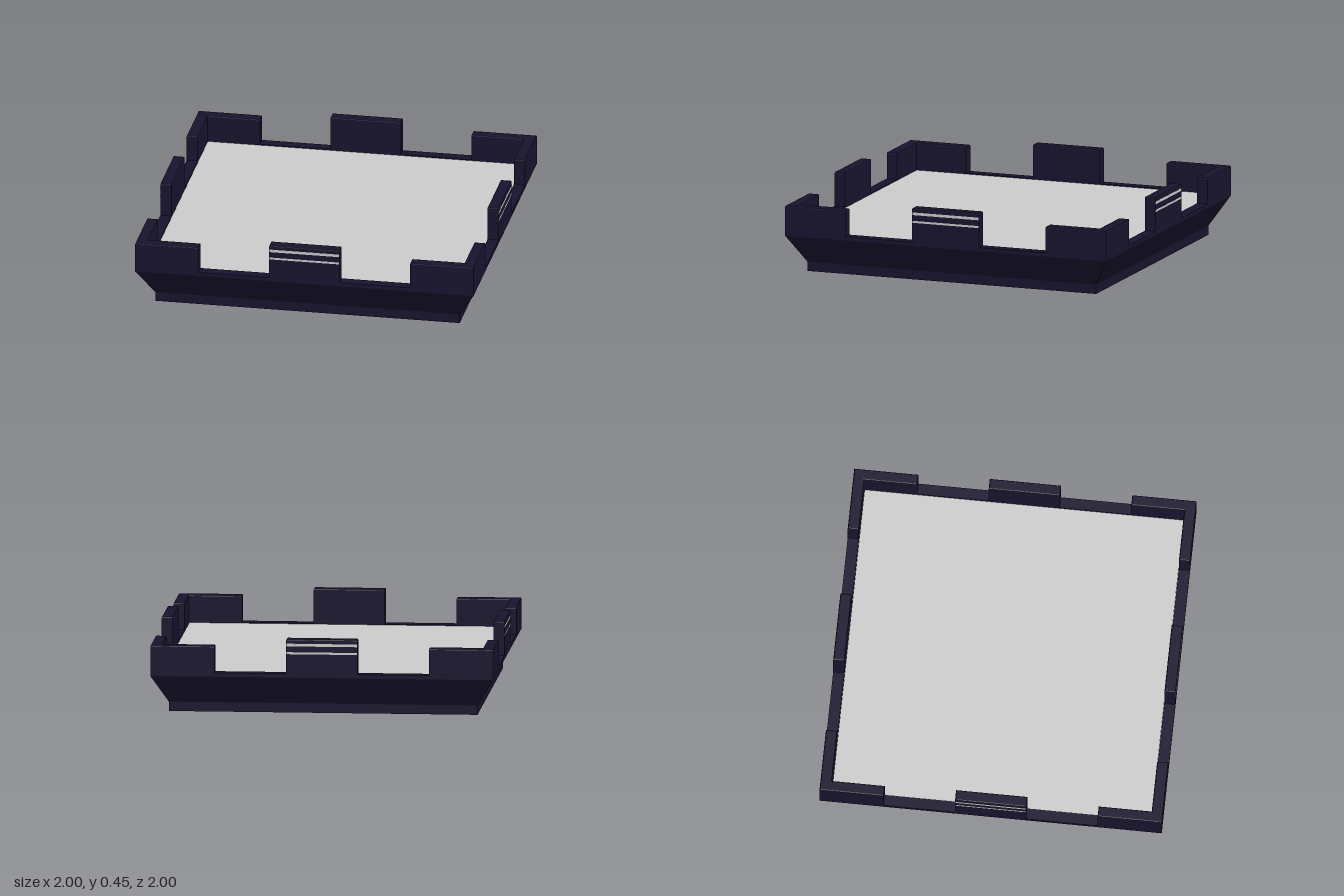
import * as THREE from 'three';

const dark = new THREE.MeshStandardMaterial({ color: 0x18132e, flatShading: true });
const grey = new THREE.MeshStandardMaterial({ color: 0xcccccc });

const BEVEL = 0.007;
const INNER = 0.935; // inside face of the walls
const RIM = 0.243; // top of the low rim

function addMesh(parent, name, geometry, material) {
  const mesh = new THREE.Mesh(geometry, material);
  mesh.name = name;
  parent.add(mesh);
  return mesh;
}

// Upright prism with softened edges from a plan outline of [x, z] points;
// it starts just inside the rim so its lower bevel is hidden.
function prism(plan, top) {
  const shape = new THREE.Shape(plan.map(([x, z]) => new THREE.Vector2(x, -z)));
  const bottom = RIM - 0.01;
  const geometry = new THREE.ExtrudeGeometry(shape, {
    depth: top - bottom - 2 * BEVEL,
    bevelEnabled: true,
    bevelSize: BEVEL,
    bevelOffset: -BEVEL,
    bevelThickness: BEVEL,
    bevelSegments: 2,
  });
  geometry.rotateX(-Math.PI / 2);
  geometry.translate(0, bottom + BEVEL, 0);
  return geometry;
}

export function createModel() {
  const model = new THREE.Group();
  model.name = 'walledPlatform';

  // Square tray: plinth, flared sides, low rim and recessed top
  const profile = [
    [0, 0], [0.9, 0], [0.9, 0.055], [1, 0.22], [1, RIM],
    [INNER, RIM], [INNER, 0.2], [0, 0.2],
  ].map(([r, y]) => new THREE.Vector2(r * Math.SQRT2, y));
  const tray = new THREE.LatheGeometry(profile, 4, Math.PI / 4).toNonIndexed();
  tray.computeVertexNormals();
  addMesh(model, 'base', tray, dark);

  // Floor plate inside the rim
  const floor = addMesh(model, 'floor', new THREE.BoxGeometry(1.866, 0.05, 1.866), grey);
  floor.position.y = 0.213;

  const cornerGeometry = prism(
    [[1, 1], [1, 0.625], [INNER, 0.625], [INNER, INNER], [0.625, INNER], [0.625, 1]], 0.4);
  const postGeometry = prism(
    [[-0.208, INNER], [-0.208, 1], [0.208, 1], [0.208, INNER]], 0.446);

  // One corner wall and one striped post for each side
  for (let i = 0; i < 4; i++) {
    const side = new THREE.Group();
    side.name = ['front', 'left', 'back', 'right'][i] + 'Side';
    side.rotation.y = i * Math.PI / 2;
    addMesh(side, 'cornerWall', cornerGeometry, dark);
    addMesh(side, 'post', postGeometry, dark);
    for (const [y, height] of [[0.364, 0.012], [0.412, 0.016]]) {
      const stripe = addMesh(side, 'postStripe', new THREE.BoxGeometry(0.412, height, 0.004), grey);
      stripe.position.set(0, y, 0.999);
    }
    model.add(side);
  }
  return model;
}
